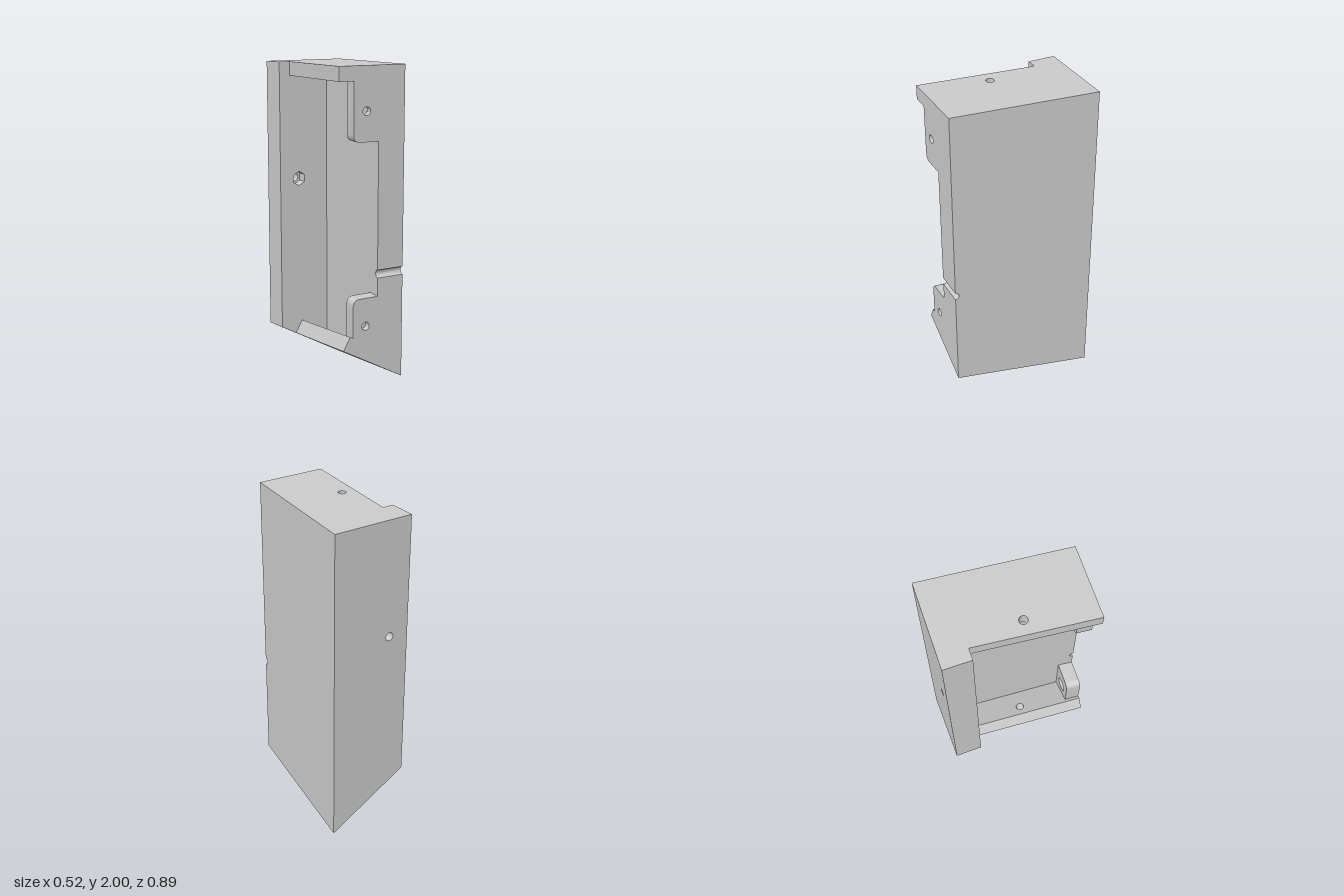
import * as THREE from 'three';
import { toCreasedNormals } from 'three/addons/utils/BufferGeometryUtils.js';

const FRONT = 0.445, BACK = -0.445, INNER = -0.275, PLATE = 0.085;

// Tilted planes that bound the housing
const skew = z => (FRONT - z) * 0.0955;
const topY = z => 2 - 0.0169 * (FRONT - z);
const bottomY = (x, z) => 0.13 + 0.555 * (0.175 - x) - 0.092 * (FRONT - z);

const polygon = points => new THREE.Shape(points.map(p => new THREE.Vector2(...p)));

function drill(shape, x, y, radius, sides = 32) {
  const points = [];
  for (let i = 0; i < sides; i++) {
    const a = Math.PI / 2 + (i / sides) * Math.PI * 2;
    points.push(new THREE.Vector2(x + radius * Math.cos(a), y + radius * Math.sin(a)));
  }
  shape.holes.push(new THREE.Path(points));
  return shape;
}

// Extrude a shape, then send each vertex (u, v, w) to its place by a rule
function part(name, shape, depth, rule) {
  const geometry = new THREE.ExtrudeGeometry(shape, { depth, bevelEnabled: false, curveSegments: 16 });
  const pos = geometry.attributes.position;
  for (let i = 0; i < pos.count; i++) {
    pos.setXYZ(i, ...rule(pos.getX(i), pos.getY(i), pos.getZ(i)));
  }
  const mesh = new THREE.Mesh(toCreasedNormals(geometry, 0.6),
    new THREE.MeshStandardMaterial({ color: 0xcccccc }));
  mesh.name = name;
  return mesh;
}

export function createModel() {
  const group = new THREE.Group();
  group.name = 'housing';

  // Back panel: round bolt hole outside, hexagonal nut recess inside
  const backLayer = (name, z0, z1, radius, sides) => {
    const shape = drill(polygon([[-0.26, 0], [0.175, 0], [0.175, 2], [-0.26, 2]]), -0.13, 1.26, radius, sides);
    return part(name, shape, z1 - z0, (u, v, w) => {
      const z = z0 + w;
      const x = u > 0.17 ? u + skew(z) : u;
      const y = v < 0.1 ? bottomY(x, z) : v > 1.9 ? topY(z) - PLATE : v;
      return [x, y, z];
    });
  };
  group.add(backLayer('backPanelOuter', BACK, -0.34, 0.026, 32));
  group.add(backLayer('backPanelInner', -0.34, INNER, 0.045, 6));

  // Thick side wall with a half-round groove across its front edge
  const wall = new THREE.Shape();
  wall.moveTo(-INNER, 0);
  wall.lineTo(-INNER, 2);
  wall.lineTo(-FRONT, 2);
  wall.lineTo(-FRONT, 0.814);
  wall.absarc(-FRONT, 0.79, 0.024, Math.PI / 2, -Math.PI / 2, true);
  wall.lineTo(-FRONT, 0);
  wall.closePath();
  group.add(part('sideWall', wall, 0.175, (u, v, w) => {
    const z = -u, x = w + skew(z);
    const y = v < 0.1 ? bottomY(x, z) : v > 1.9 ? topY(z) - PLATE : v;
    return [x, y, z];
  }));

  // Top plate following the whole outline, with a vertical hole
  const top = polygon([[-0.26, -FRONT], [0.175, -FRONT], [0.26, -BACK],
    [-0.26, -BACK], [-0.26, -INNER], [-0.19, -INNER]]);
  drill(top, -0.135, -0.043, 0.025);
  group.add(part('topPlate', top, PLATE, (u, v, w) => [u, topY(-v) - PLATE + w, -v]));

  // Sloping bottom plate, its free edge and hole square to the slope
  const bottom = polygon([[-0.23, -FRONT], [0.02, -FRONT],
    [0.02 + skew(INNER), -INNER], [-0.23 + skew(INNER), -INNER]]);
  drill(bottom, -0.13, -0.06, 0.025);
  group.add(part('bottomPlate', bottom, 1, (u, v, w) => {
    const x = u < 0 ? u + 0.045 * w : u;
    return [x, bottomY(x, -v) + 0.105 * w, -v];
  }));

  // Front tabs with one rounded corner and counterbored screw holes
  const tabShape = (edge, r, base, dir) => {
    const s = new THREE.Shape();
    s.moveTo(0.01, edge);
    s.lineTo(-0.165 + r, edge);
    s.quadraticCurveTo(-0.165, edge, -0.165, edge + dir * r);
    s.lineTo(-0.165, base[0]);
    s.lineTo(0.01, base[1]);
    s.closePath();
    return s;
  };
  const tabs = [
    ['upperTab', 1.57, [1.915, 1.915], 1, 1.745],
    ['lowerTab', 0.655, [0.41, 0.315], -1, 0.485],
  ];
  for (const [name, edge, base, dir, holeY] of tabs) {
    const tab = new THREE.Group();
    tab.name = name;
    for (const [layer, z0, radius] of [['Front', 0.4, 0.025], ['Counterbore', 0.355, 0.048]]) {
      const shape = drill(tabShape(edge, 0.045, base, dir), -0.08, holeY, radius);
      tab.add(part(name + layer, shape, 0.045, (u, v, w) => [u + skew(z0 + w), v, z0 + w]));
    }
    group.add(tab);
  }

  return group;
}
